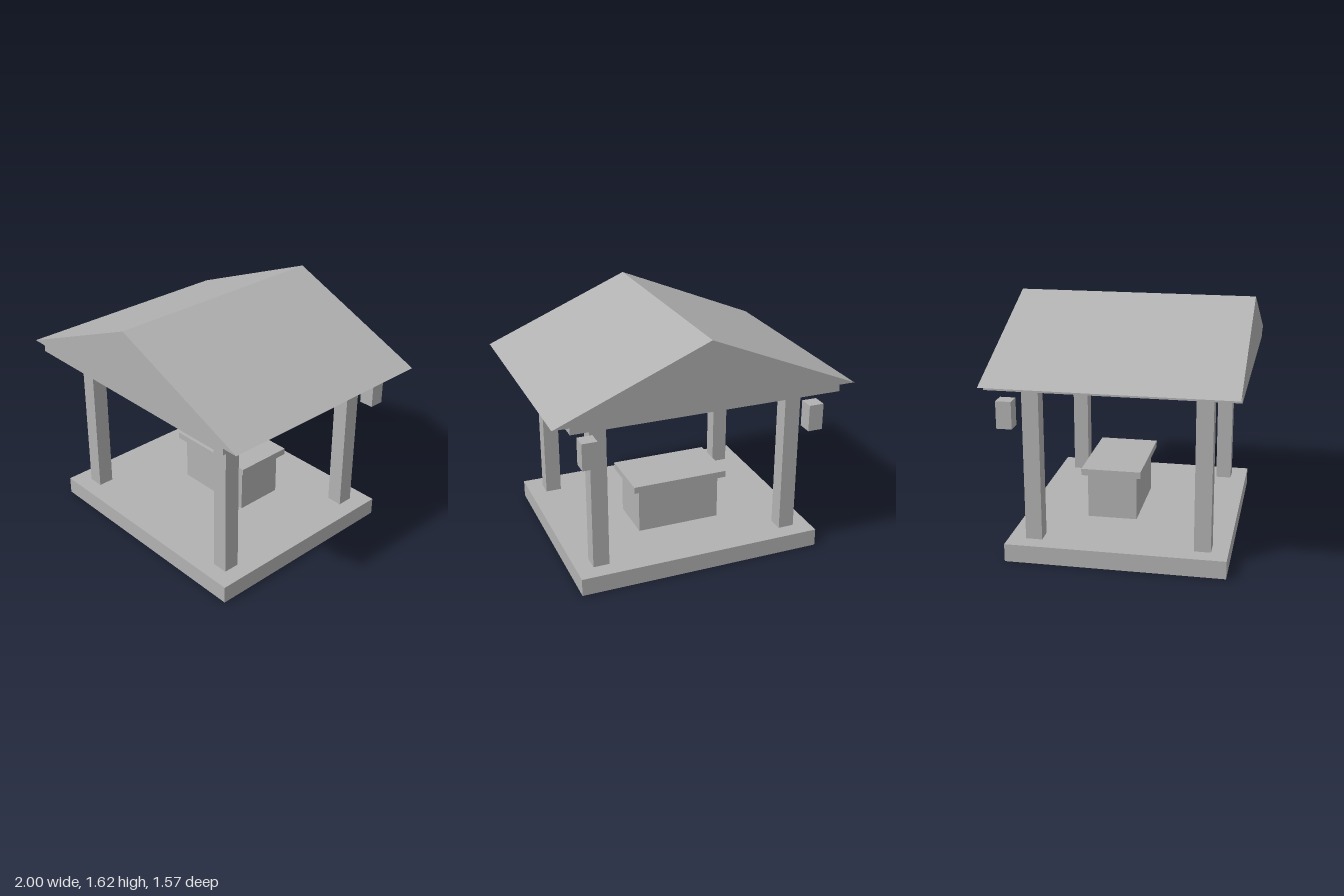
import * as THREE from 'three';

export function createModel() {
  const model = new THREE.Group();
  model.name = 'pavilion';
  const stone = new THREE.MeshStandardMaterial({ color: 0xb2b2b2 });
  stone.name = 'plain grey';

  // Box given by its centre in x and z, and its bottom and top heights
  function box(name, width, depth, bottom, top, x = 0, z = 0) {
    const mesh = new THREE.Mesh(new THREE.BoxGeometry(width, top - bottom, depth), stone);
    mesh.name = name;
    mesh.position.set(x, (bottom + top) / 2, z);
    model.add(mesh);
  }

  // Floor slab
  box('floor', 1.666, 1.428, 0, 0.119);

  // Corner posts
  for (const x of [-0.666, 0.666]) {
    for (const z of [-0.547, 0.55]) box('post', 0.108, 0.108, 0.119, 1.16, x, z);
  }

  // Counter in the middle
  box('counterBody', 0.576, 0.334, 0.119, 0.431, 0, -0.118);
  box('counterTop', 0.666, 0.404, 0.431, 0.476, 0, -0.118);

  // Lanterns behind the rear posts
  for (const x of [-0.762, 0.762]) box('lantern', 0.1, 0.1, 0.89, 1.068, x, -0.69);

  // Ceiling slab under the gable roof
  box('ceiling', 1.785, 1.57, 1.16, 1.204);

  // Solid gable roof
  const gable = new THREE.Shape([
    new THREE.Vector2(-1, 1.204),
    new THREE.Vector2(1, 1.204),
    new THREE.Vector2(0, 1.621),
  ]);
  const roofGeometry = new THREE.ExtrudeGeometry(gable, { depth: 1.57, bevelEnabled: false });
  roofGeometry.translate(0, 0, -0.785);
  const roof = new THREE.Mesh(roofGeometry, stone);
  roof.name = 'roof';
  model.add(roof);

  return model;
}
